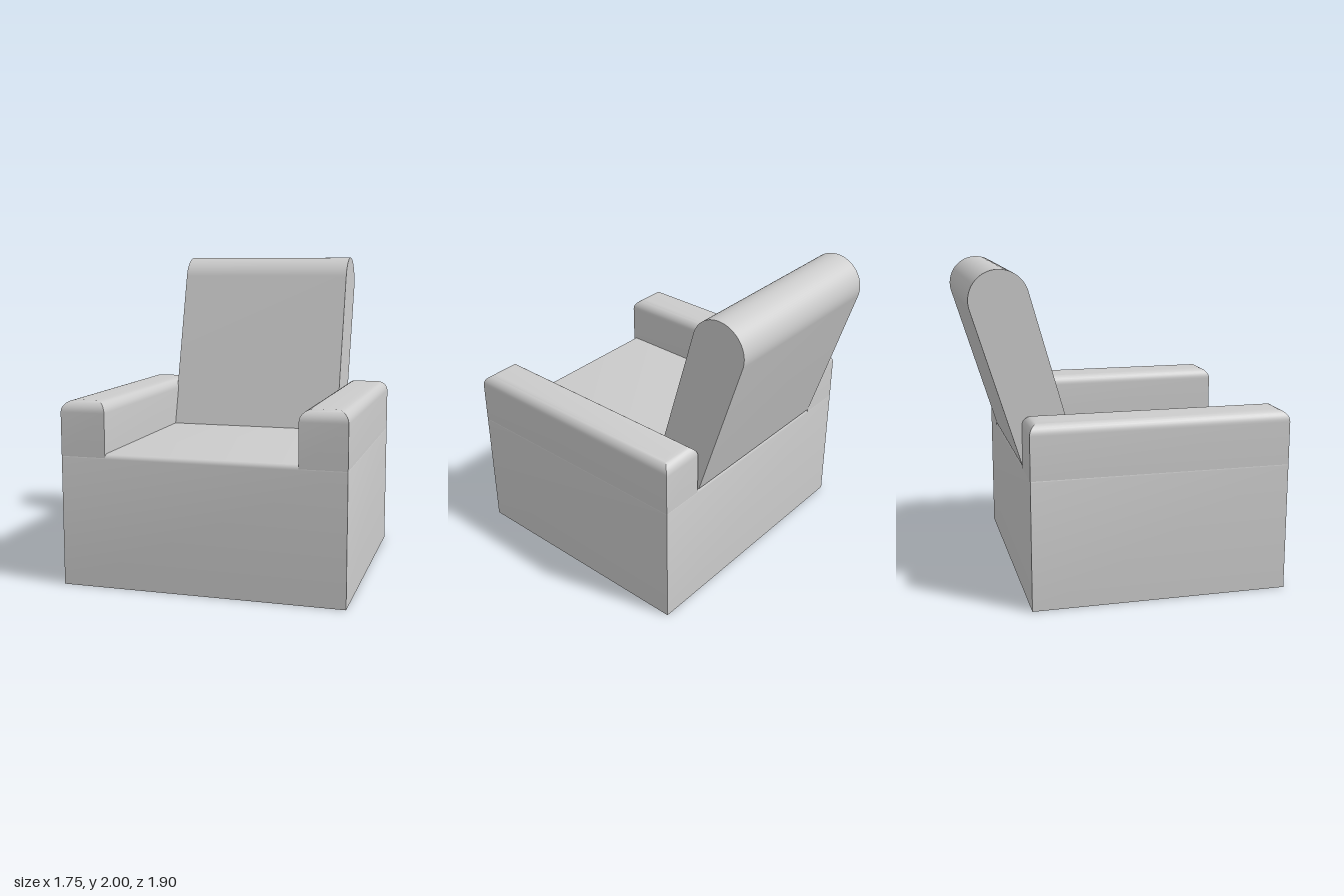
import * as THREE from 'three';
import { toCreasedNormals } from 'three/addons/utils/BufferGeometryUtils.js';

const upholstery = new THREE.MeshStandardMaterial({ color: 0xcccccc });
upholstery.name = 'light grey upholstery';

// Block with sharp vertical corners whose top edges are rounded by radius r
function roundedTopBlock(x0, x1, y0, y1, z0, z1, r, steps) {
  const rings = [[0, y0]];
  for (let i = 0; i <= steps; i++) {
    const a = (i / steps) * Math.PI / 2;
    rings.push([r * (1 - Math.cos(a)), y1 - r * (1 - Math.sin(a))]);
  }
  const pos = [], index = [];
  for (const [inset, y] of rings) {
    pos.push(x0 + inset, y, z1 - inset, x1 - inset, y, z1 - inset);
    pos.push(x1 - inset, y, z0 + inset, x0 + inset, y, z0 + inset);
  }
  for (let i = 0; i < rings.length - 1; i++) {
    for (let j = 0; j < 4; j++) {
      const a = i * 4 + j, b = i * 4 + (j + 1) % 4;
      index.push(a, b, b + 4, a, b + 4, a + 4);
    }
  }
  const t = (rings.length - 1) * 4;
  index.push(t, t + 1, t + 2, t, t + 2, t + 3); // top
  index.push(0, 2, 1, 0, 3, 2); // underside
  const geometry = new THREE.BufferGeometry();
  geometry.setAttribute('position', new THREE.Float32BufferAttribute(pos, 3));
  geometry.setIndex(index);
  return toCreasedNormals(geometry, 0.6);
}

// Leaning slab with a half-round top, drawn in (z, y) and extruded across x
function backrestGeometry() {
  const cz = -0.77, cy = 1.82, r = 0.18, lean = 0.277;
  const shape = new THREE.Shape();
  shape.moveTo(-0.65, 0.82);
  shape.lineTo(-0.3, 0.82);
  shape.absarc(cz, cy, r, lean, lean + Math.PI, false);
  shape.closePath();
  const geometry = new THREE.ExtrudeGeometry(shape, {
    depth: 1.178, bevelEnabled: false, curveSegments: 24,
  });
  geometry.rotateY(-Math.PI / 2);
  geometry.translate(0.578, 0, 0);
  return toCreasedNormals(geometry, 0.6);
}

export function createModel() {
  const model = new THREE.Group();
  model.name = 'armchair';
  const add = (name, geometry) => {
    const mesh = new THREE.Mesh(geometry, upholstery);
    mesh.name = name;
    model.add(mesh);
  };

  // Seat base
  add('seatBase', roundedTopBlock(-0.875, 0.875, 0, 0.825, -0.65, 0.95, 0.03, 4));

  // Armrests
  add('rightArmrest', roundedTopBlock(-0.875, -0.593, 0.802, 1.14, -0.65, 0.95, 0.07, 8));
  add('leftArmrest', roundedTopBlock(0.59, 0.875, 0.802, 1.14, -0.65, 0.95, 0.07, 8));

  // Backrest
  add('backrest', backrestGeometry());

  return model;
}
